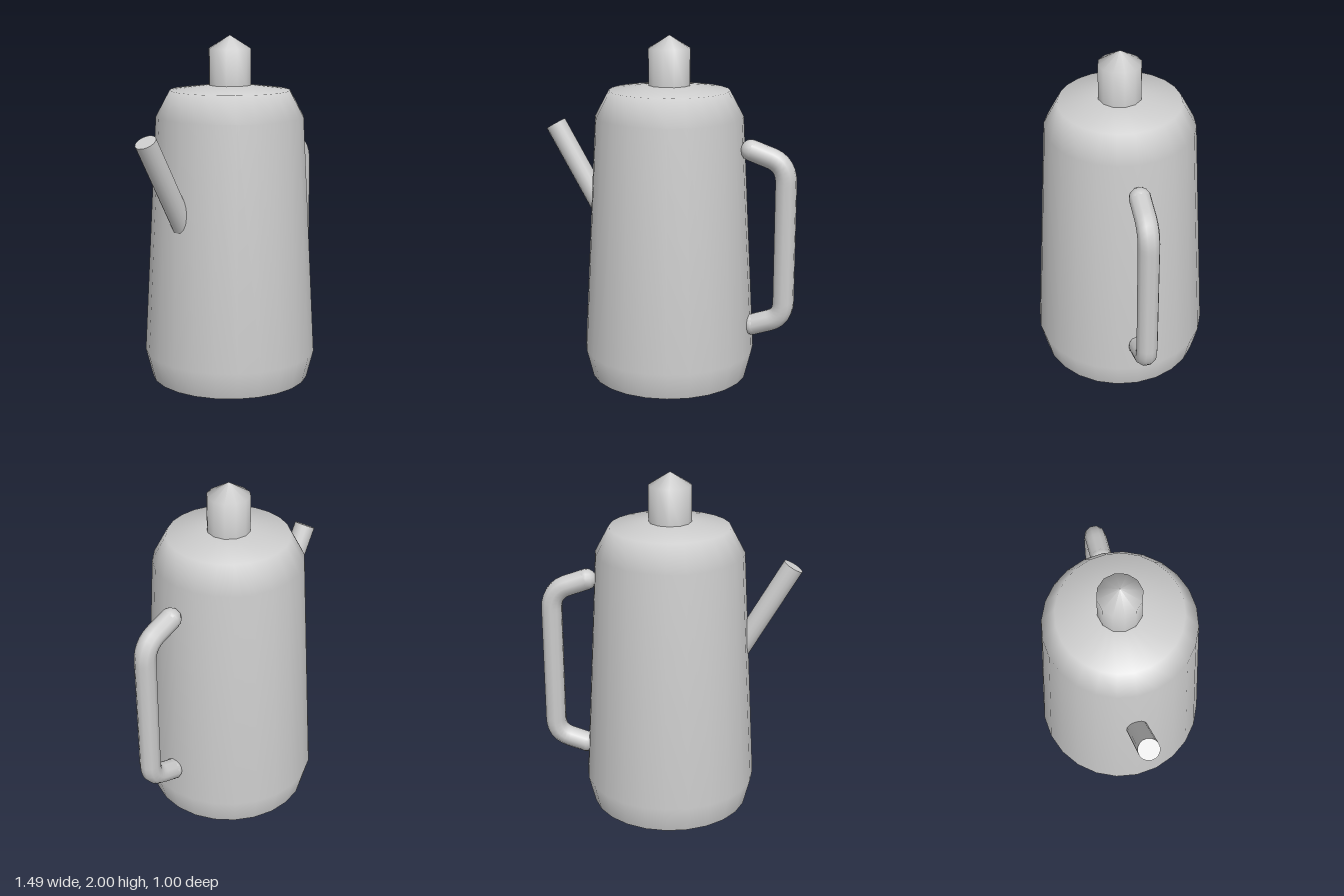
import * as THREE from 'three';

export function createModel() {
  const group = new THREE.Group();
  const metal = new THREE.MeshStandardMaterial({ color: 0xcccccc });
  metal.name = 'brushed grey';

  const add = (name, geometry, parent = group) => {
    const mesh = new THREE.Mesh(geometry, metal);
    mesh.name = name;
    parent.add(mesh);
    return mesh;
  };
  const lathe = (pairs, sides) =>
    new THREE.LatheGeometry(pairs.map(([r, y]) => new THREE.Vector2(r, y)), sides);

  // Tapered body with a soft shoulder and shallow lid
  add('body', lathe([[0.46, 0], [0.5, 0.16], [0.425, 1.54], [0.345, 1.69], [0.12, 1.718], [0, 1.725]], 24));
  add('base', new THREE.CircleGeometry(0.46, 24)).rotation.x = Math.PI / 2;

  // Knob with a conical tip
  add('knob', lathe([[0.122, 1.7], [0.122, 1.925], [0, 2]], 12));

  // Straight slanted spout, rooted inside the body
  const tip = new THREE.Vector3(-0.698, 1.463, 0);
  const root = new THREE.Vector3(-0.36, 0.88, 0);
  const spout = add('spout', new THREE.CylinderGeometry(0.061, 0.061, tip.distanceTo(root), 16));
  spout.position.copy(tip).add(root).multiplyScalar(0.5);
  spout.quaternion.setFromUnitVectors(new THREE.Vector3(0, 1, 0), tip.clone().sub(root).normalize());

  // Handle: round bar with two curved corners and rounded ends
  const handle = new THREE.Group();
  handle.name = 'handle';
  group.add(handle);
  const p = (x, y) => new THREE.Vector3(x, y, 0);
  const path = new THREE.CurvePath();
  path.add(new THREE.LineCurve3(p(0.48, 1.368), p(0.59, 1.33)));
  path.add(new THREE.QuadraticBezierCurve3(p(0.59, 1.33), p(0.685, 1.3), p(0.685, 1.19)));
  path.add(new THREE.LineCurve3(p(0.685, 1.19), p(0.685, 0.49)));
  path.add(new THREE.QuadraticBezierCurve3(p(0.685, 0.49), p(0.685, 0.395), p(0.6, 0.368)));
  path.add(new THREE.LineCurve3(p(0.6, 0.368), p(0.505, 0.335)));
  add('handleBar', new THREE.TubeGeometry(path, 48, 0.061, 10, false), handle);
  for (const [name, x, y] of [['handleTopEnd', 0.48, 1.368], ['handleBottomEnd', 0.505, 0.335]]) {
    add(name, new THREE.SphereGeometry(0.061, 12, 8), handle).position.set(x, y, 0);
  }

  return group;
}
